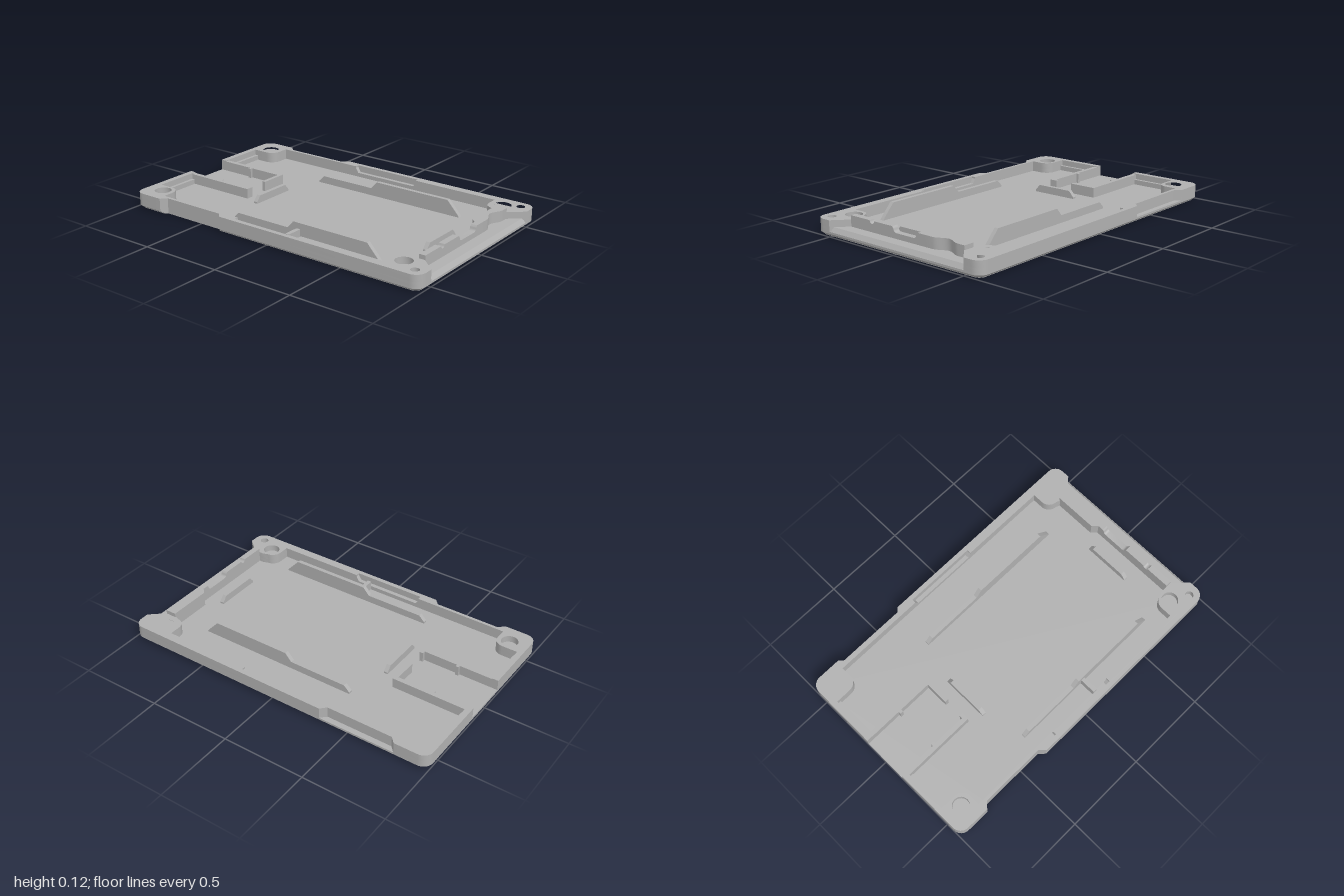
import * as THREE from 'three';
import { toCreasedNormals } from 'three/addons/utils/BufferGeometryUtils.js';

const FLOOR = 0.03, RIM = 0.095, TALL = 0.12;

export function createModel() {
  const group = new THREE.Group();
  const grey = new THREE.MeshStandardMaterial({ color: 0xb0b0b0 });
  grey.name = 'grey plastic';

  const add = (name, geo) => {
    const mesh = new THREE.Mesh(toCreasedNormals(geo, 0.6), grey);
    mesh.name = name;
    group.add(mesh);
  };
  const box = (name, x0, x1, y0, y1, z0, z1) => {
    const g = new THREE.BoxGeometry(x1 - x0, y1 - y0, z1 - z0);
    add(name, g.translate((x0 + x1) / 2, (y0 + y1) / 2, (z0 + z1) / 2));
  };
  // Points of an arc between two angles in degrees
  const arc = (cx, cz, r, a0, a1, n = 8) => Array.from({ length: n + 1 }, (_, i) => {
    const a = THREE.MathUtils.degToRad(a0 + (a1 - a0) * i / n);
    return [cx + r * Math.cos(a), cz + r * Math.sin(a)];
  });
  const toVectors = pts => pts.map(([x, z]) => new THREE.Vector2(x, -z));
  // Plan outline (x, z) raised from y0 to y1
  const slab = (name, pts, y0, y1, holes = []) => {
    const shape = new THREE.Shape(toVectors(pts));
    shape.holes = holes.map(h => new THREE.Path(toVectors(h)));
    const g = new THREE.ExtrudeGeometry(shape, { depth: y1 - y0, bevelEnabled: false });
    add(name, g.rotateX(-Math.PI / 2).translate(0, y0, 0));
  };
  // Side profile (along, y) given a thickness; alongZ turns it to run along z
  const profile = (name, pts, thick, pos, alongZ = false) => {
    const shape = new THREE.Shape(pts.map(([a, y]) => new THREE.Vector2(a, y)));
    const g = new THREE.ExtrudeGeometry(shape, { depth: thick, bevelEnabled: false });
    if (alongZ) g.rotateY(-Math.PI / 2).translate(pos + thick, 0, 0);
    else g.translate(0, 0, pos);
    add(name, g);
  };

  // Base outline, shrunk by i, with the recess in the front edge
  const outline = i => {
    const r = 0.06 - i, d = (0.035 - i) * 0.9, zf = 0.61 - i;
    return [
      ...arc(-0.94, 0.55, r, 180, 90),
      [-0.765 - d, zf], [-0.765, 0.575], [-0.36, 0.575], [-0.36 + d, zf],
      ...arc(0.94, 0.55, r, 90, 0),
      ...arc(0.94, -0.55, r, 0, -90),
      ...arc(-0.94, -0.55, r, -90, -180),
    ];
  };

  // Grooved underside, bevel and floor plate
  const grooves = [];
  for (let k = 0; k < 5; k++) {
    const x = 0.48 + k * 0.06;
    grooves.push([[x, -0.56], [x + 0.014, -0.56], [x + 0.014, 0.56], [x, 0.56]]);
  }
  slab('underside', outline(0.02), 0, 0.004, grooves);
  slab('basePlate', outline(0.02), 0.004, 0.02);
  slab('floor', outline(0), 0.018, FLOOR);
  const low = outline(0.02), high = outline(0), pos = [];
  for (let k = 0; k < low.length; k++) {
    const n = (k + 1) % low.length;
    const a = [low[k][0], 0.002, low[k][1]], b = [low[n][0], 0.002, low[n][1]];
    const c = [high[n][0], 0.018, high[n][1]], d = [high[k][0], 0.018, high[k][1]];
    pos.push(...a, ...b, ...c, ...a, ...c, ...d);
  }
  const bevel = new THREE.BufferGeometry();
  bevel.setAttribute('position', new THREE.Float32BufferAttribute(pos, 3));
  bevel.computeVertexNormals();
  add('bottomBevel', bevel);

  // Walls with corner bosses, front and back
  for (const s of [1, -1]) {
    const side = s > 0 ? 'front' : 'back';
    const wall = pocket => [
      [-1, 0.14], ...arc(-0.94, 0.55, 0.06, 180, 90),
      [-0.797, 0.61], [-0.765, 0.576], [-0.36, 0.576], [-0.328, 0.61],
      ...arc(0.94, 0.55, 0.06, 90, 0),
      [1, 0.5], [0.91, 0.42], [0.845, 0.42],
      ...arc(0.82, 0.49, 0.06, -90, -180),
      [0.76, 0.557],
      ...(pocket ? [[0.215, 0.557], [0.215, 0.582], [-0.235, 0.582], [-0.235, 0.557]] : []),
      [-0.81, 0.557], ...arc(-0.87, 0.49, 0.06, 0, -90),
      [-0.965, 0.43], [-0.965, 0.14],
    ].map(([x, z]) => [x, z * s]);
    const rightHole = s > 0 ? [0.83, 0.49] : [0.84, -0.51];
    const holes = [
      arc(-0.885, 0.495 * s, 0.05, 0, 345, 23),
      arc(...rightHole, 0.05, 0, 345, 23),
      arc(0.935, 0.55 * s, 0.025, 0, 337.5, 15),
    ];
    slab(side + 'WallLower', wall(false), FLOOR, 0.055);
    slab(side + 'WallUpper', wall(true), 0.055, RIM, holes);
    // Sloped ends inside the clip pocket
    for (const [x, dir] of [[-0.235, 1], [0.215, -1]]) {
      profile(side + 'PocketRamp', [[x, 0.055], [x + dir * 0.018, 0.055], [x, RIM - 0.01]],
        0.025, s > 0 ? 0.557 : -0.582);
    }
    // Step inside the left wall
    box(side + 'LeftStep', -0.966, -0.945, FLOOR, 0.06, s > 0 ? 0.17 : -0.43, s > 0 ? 0.43 : -0.17);
    // Channel walls beside the left opening
    const near = 0.14, far = 0.167;
    box(side + 'ChannelWall', -0.966, -0.51, FLOOR, RIM - 0.005, s > 0 ? near : -far, s > 0 ? far : -near);
    box(side + 'ChannelNub', -0.76, -0.74, FLOOR, RIM - 0.005, s > 0 ? 0.125 : -near, s > 0 ? near : -0.125);
    // Long stepped support rib
    profile(side + 'LongRib', [
      [-0.35, FLOOR], [0.66, FLOOR], [0.65, 0.045], [0.58, TALL], [0.085, TALL],
      [0.045, 0.075], [-0.315, 0.075], [-0.35, 0.04],
    ], 0.025, s > 0 ? 0.437 : -0.355);
  }
  box('channelEndBack', -0.532, -0.51, FLOOR, RIM - 0.005, -0.167, 0.005);
  box('channelEndFront', -0.532, -0.51, FLOOR, RIM - 0.005, 0.12, 0.167);

  // Short support ribs running across
  for (const x of [-0.43, 0.758]) {
    profile('shortRib', [[-0.09, FLOOR], [0.2, FLOOR], [0.2, 0.04], [0.17, 0.075], [-0.06, 0.075], [-0.09, 0.04]],
      0.025, x, true);
  }
  box('frontTab', 0.108, 0.133, FLOOR, 0.085, 0.462, 0.56);

  // Sloped sill outside the right wall
  profile('rightSill', [[0.88, 0.028], [1, 0.028], [0.98, 0.055], [0.88, 0.055]], 0.98, -0.49);

  // Right wall with its port cutouts
  profile('rightWall', [
    [-0.15, FLOOR], [0.42, FLOOR], [0.42, TALL], [0.278, TALL],
    ...arc(0.252, TALL, 0.018, 0, -180, 6),
    [0.095, TALL], [0.088, 0.112], ...arc(0.065, 0.107, 0.02, 0, -90, 5),
    ...arc(-0.065, 0.107, 0.02, -90, -180, 5), [-0.088, 0.112], [-0.095, TALL], [-0.15, TALL],
  ], 0.037, 0.875, true);
  const wave = Array.from({ length: 13 }, (_, i) => {
    const t = i / 12;
    return [0.912 - 0.016 * (1 - Math.cos(t * 2 * Math.PI)), -0.2 - 0.18 * t];
  });
  slab('rightWallCurved', [
    [0.875, -0.13], [0.912, -0.13], ...wave, [0.912, -0.425], [0.845, -0.425], [0.845, -0.16],
  ], FLOOR, TALL);

  return group;
}
